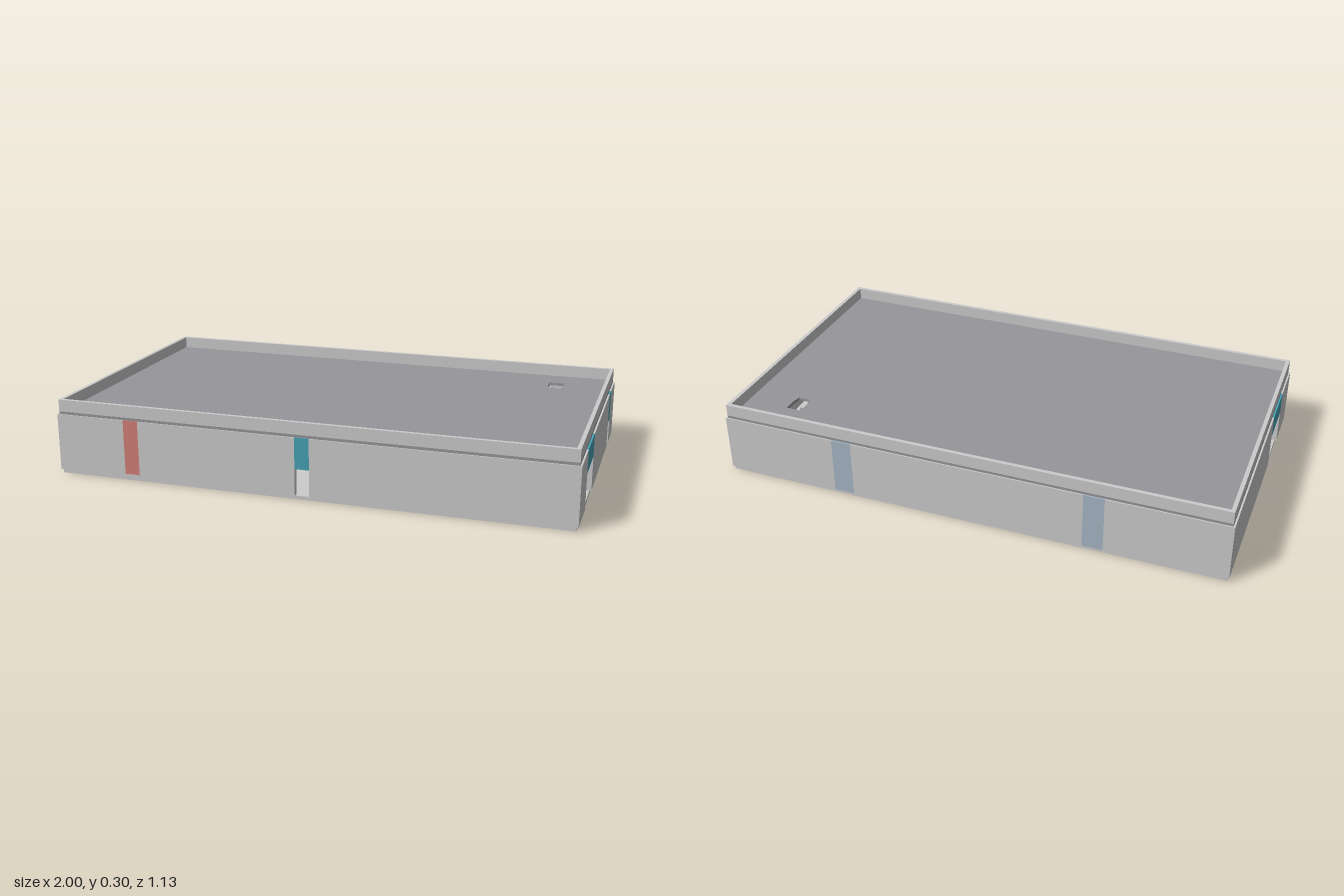
import * as THREE from 'three';

const HX = 1, HZ = 0.565;          // outer half sizes of the walls
const FLOOR = 0.014, WALL_TOP = 0.238, ROOF_TOP = 0.249, TOP = 0.296;
const T = 0.02;                    // wall thickness

const mat = (color) => new THREE.MeshStandardMaterial({ color });
const grey = mat(0xcccccc);
const roofGrey = mat(0x96959b);
const darkGrey = mat(0x8c8e89);
const teal = mat(0x45a2b3);
const red = mat(0xd28076);
const blue = mat(0xa6b7c6);
const tan = mat(0xb89a6a);

// Box given by its minimum and maximum corners
function box(parent, name, material, x0, x1, y0, y1, z0, z1) {
  const mesh = new THREE.Mesh(new THREE.BoxGeometry(x1 - x0, y1 - y0, z1 - z0), material);
  mesh.position.set((x0 + x1) / 2, (y0 + y1) / 2, (z0 + z1) / 2);
  mesh.name = name;
  parent.add(mesh);
  return mesh;
}

// Wall along its own x, outer face at local z = 0; each bay has a panel
// from bay.y up to the wall top, and is open or has a sill below it
function wall(name, half, bays) {
  const g = new THREE.Group();
  g.name = name;
  let x = -half;
  for (const bay of bays) {
    box(g, 'wallSection', grey, x, bay.a, FLOOR, WALL_TOP, -T, 0);
    box(g, 'bayPanel', bay.material, bay.a, bay.b, bay.y, WALL_TOP, -T, 0);
    if (bay.sill) box(g, 'sill', grey, bay.a, bay.b, FLOOR, bay.y, -T, 0.001);
    x = bay.b;
  }
  box(g, 'wallSection', grey, x, half, FLOOR, WALL_TOP, -T, 0);
  return g;
}

// Rectangular outline in plan
function rect(Type, hx, hz) {
  const s = new Type();
  s.moveTo(-hx, -hz);
  s.lineTo(hx, -hz);
  s.lineTo(hx, hz);
  s.lineTo(-hx, hz);
  s.closePath();
  return s;
}

// Plan shape (x, -z) raised from y0 to y1
function slab(name, material, shape, y0, y1) {
  const geo = new THREE.ExtrudeGeometry(shape, { depth: y1 - y0, bevelEnabled: false });
  geo.rotateX(-Math.PI / 2);
  const mesh = new THREE.Mesh(geo, material);
  mesh.position.y = y0;
  mesh.name = name;
  return mesh;
}

export function createModel() {
  const model = new THREE.Group();
  model.name = 'building';

  // Floor slab
  box(model, 'floorSlab', grey, -0.993, 0.993, 0, FLOOR, -0.56, 0.56);

  // Front and back walls
  const front = wall('frontWall', HX, [
    { a: -0.72, b: -0.66, y: 0.025, material: red, sill: true },
    { a: -0.03, b: 0.026, y: 0.118, material: teal },
  ]);
  front.position.z = HZ;
  const back = wall('backWall', HX, [
    { a: -0.54, b: -0.46, y: FLOOR, material: blue },
    { a: 0.46, b: 0.54, y: FLOOR, material: blue },
  ]);
  back.position.z = -HZ;
  back.rotation.y = Math.PI;

  // End walls: a wide gate through both, a narrow door on the left end only
  const left = wall('leftWall', HZ - T, [
    { a: -0.38, b: -0.185, y: 0.149, material: teal },
    { a: 0.36, b: 0.415, y: 0.117, material: teal },
  ]);
  left.position.x = HX;
  left.rotation.y = Math.PI / 2;
  const right = wall('rightWall', HZ - T, [
    { a: 0.185, b: 0.38, y: 0.149, material: teal },
  ]);
  right.position.x = -HX;
  right.rotation.y = -Math.PI / 2;
  model.add(front, back, left, right);

  // Roof slab with a tapered hatch opening
  const roof = rect(THREE.Shape, 0.993, 0.56);
  const hatch = new THREE.Path();
  hatch.moveTo(0.745, 0.43);
  hatch.lineTo(0.805, 0.43);
  hatch.lineTo(0.805, 0.375);
  hatch.lineTo(0.798, 0.345);
  hatch.lineTo(0.752, 0.345);
  hatch.lineTo(0.745, 0.375);
  hatch.closePath();
  roof.holes.push(hatch);
  model.add(slab('roof', roofGrey, roof, WALL_TOP, ROOF_TOP));

  // Parapet ring around the roof
  const ring = rect(THREE.Shape, 0.993, 0.561);
  ring.holes.push(rect(THREE.Path, 0.978, 0.546));
  model.add(slab('parapet', grey, ring, ROOF_TOP, TOP));

  // Ladder under the hatch
  const ladder = new THREE.Group();
  ladder.name = 'ladder';
  for (const x of [0.764, 0.786]) box(ladder, 'ladderRail', darkGrey, x - 0.001, x + 0.001, FLOOR, WALL_TOP, -0.398, -0.394);
  for (let i = 1; i <= 8; i++) {
    const y = FLOOR + i * 0.026;
    box(ladder, 'ladderRung', darkGrey, 0.764, 0.786, y, y + 0.002, -0.397, -0.395);
  }
  model.add(ladder);

  // Low blocks and a thin post inside
  box(model, 'sideBlock', darkGrey, -0.6, -0.2, FLOOR, 0.092, 0.34, 0.46);
  box(model, 'centreBlock', darkGrey, -0.25, 0.25, FLOOR, 0.072, -0.1, 0.21);
  box(model, 'post', tan, -0.5, -0.494, FLOOR, WALL_TOP, -0.39, -0.384);

  return model;
}
